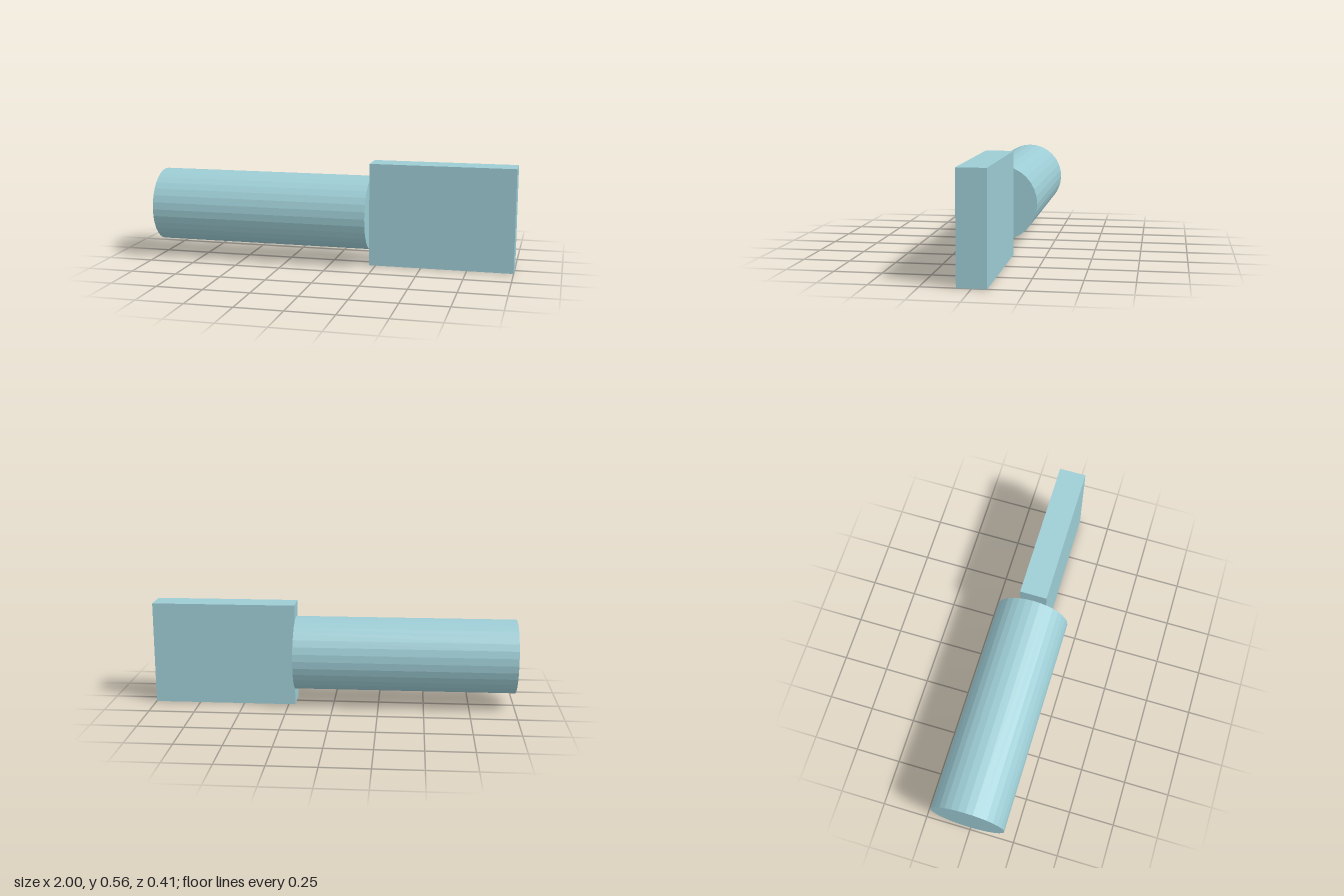
import * as THREE from 'three';

export function createModel() {
  const model = new THREE.Group();
  model.name = 'shaftWithBlade';

  const paleTeal = new THREE.MeshStandardMaterial({ color: 0x9dccd4 });
  paleTeal.name = 'paleTeal';
  paleTeal.flatShading = true;

  const axisY = 0.282; // height of the shared centre line
  const joinX = 0.213; // where the shaft meets the blade

  // Round faceted shaft lying along x
  const shaftLength = joinX + 1;
  const shaftGeometry = new THREE.CylinderGeometry(0.203, 0.203, shaftLength, 32);
  shaftGeometry.rotateZ(Math.PI / 2);
  const shaft = new THREE.Mesh(shaftGeometry, paleTeal);
  shaft.name = 'shaft';
  shaft.position.set(-1 + shaftLength / 2, axisY, 0);

  // Flat upright blade on the end of the shaft
  const bladeLength = 1 - joinX;
  const blade = new THREE.Mesh(new THREE.BoxGeometry(bladeLength, axisY * 2, 0.148), paleTeal);
  blade.name = 'blade';
  blade.position.set(joinX + bladeLength / 2, axisY, 0);

  model.add(shaft, blade);
  return model;
}
